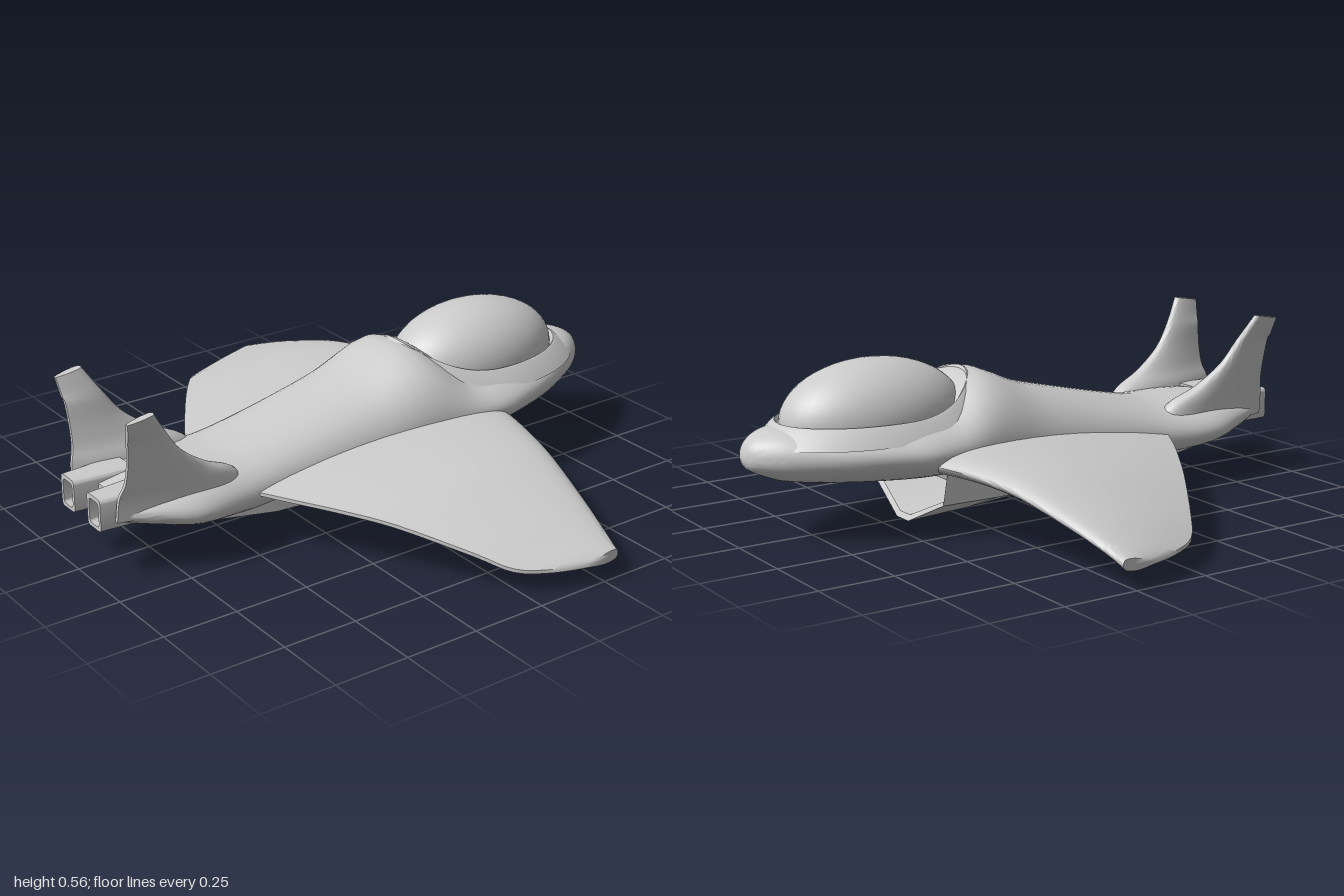
import * as THREE from 'three';
import { toCreasedNormals } from 'three/addons/utils/BufferGeometryUtils.js';

const material = new THREE.MeshStandardMaterial({ color: 0xcccccc, side: THREE.DoubleSide });

function addMesh(group, name, geometry) {
  const mesh = new THREE.Mesh(geometry, material);
  mesh.name = name;
  group.add(mesh);
  return mesh;
}

// Catmull-Rom interpolation between the rows of a station table
function refine(rows, steps) {
  const out = [];
  for (let i = 0; i < rows.length - 1; i++) {
    const a = rows[Math.max(i - 1, 0)], b = rows[i], c = rows[i + 1], d = rows[Math.min(i + 2, rows.length - 1)];
    for (let s = 0; s < steps; s++) {
      const t = s / steps;
      out.push(b.map((v, k) => {
        const cubic = 3 * (v - c[k]) + d[k] - a[k];
        const square = 2 * a[k] - 5 * v + 4 * c[k] - d[k];
        return v + 0.5 * t * (c[k] - a[k] + t * (square + t * cubic));
      }));
    }
  }
  out.push(rows[rows.length - 1]);
  return out;
}

// Skin closed rings of [x, y, z] points, with end caps, faces turned outward
function loft(rings, crease = 0.7, capped = true) {
  const n = rings[0].length, pos = rings.flat(2), idx = [];
  const at = (r, i) => r * n + (i % n);
  for (let r = 0; r < rings.length - 1; r++) {
    for (let i = 0; i < n; i++) {
      idx.push(at(r, i), at(r, i + 1), at(r + 1, i), at(r, i + 1), at(r + 1, i + 1), at(r + 1, i));
    }
  }
  if (capped) for (const r of [0, rings.length - 1]) {
    const centre = pos.length / 3;
    pos.push(...[0, 1, 2].map(k => rings[r].reduce((s, p) => s + p[k], 0) / n));
    for (let i = 0; i < n; i++) {
      idx.push(centre, ...(r ? [at(r, i), at(r, i + 1)] : [at(r, i + 1), at(r, i)]));
    }
  }
  const v = i => new THREE.Vector3(pos[3 * i], pos[3 * i + 1], pos[3 * i + 2]);
  let volume = 0;
  for (let i = 0; i < idx.length; i += 3) volume += v(idx[i]).dot(v(idx[i + 1]).cross(v(idx[i + 2])));
  if (volume < 0) idx.reverse();
  const g = new THREE.BufferGeometry();
  g.setAttribute('position', new THREE.Float32BufferAttribute(pos, 3));
  g.setIndex(idx);
  return toCreasedNormals(g, crease);
}

// Airfoil loop: calls place(t along the chord, offset from the chord)
function airfoil(half, edge, place, n = 14) {
  const ring = [];
  const h = t => half * 2.6 * Math.sqrt(t) * (1 - t) + edge * Math.min(1, t * 20);
  for (let i = 0; i <= n; i++) { const t = (i / n) ** 2; ring.push(place(t, h(t))); }
  for (let i = n; i > 0; i--) { const t = (i / n) ** 2; ring.push(place(t, -h(t))); }
  return ring;
}

function fuselage() {
  // z, half width, top, widest level, bottom
  const stations = [
    [-0.98, 0.01, 0.29, 0.28, 0.27], [-0.965, 0.05, 0.325, 0.28, 0.245], [-0.92, 0.1, 0.352, 0.28, 0.22],
    [-0.85, 0.15, 0.365, 0.28, 0.197], [-0.7, 0.23, 0.365, 0.28, 0.178], [-0.55, 0.28, 0.365, 0.275, 0.168],
    [-0.46, 0.297, 0.37, 0.27, 0.165], [-0.35, 0.287, 0.385, 0.265, 0.16], [-0.2, 0.268, 0.475, 0.25, 0.14],
    [0, 0.243, 0.405, 0.22, 0.11], [0.2, 0.225, 0.355, 0.2, 0.09], [0.4, 0.215, 0.31, 0.19, 0.085],
    [0.52, 0.222, 0.29, 0.185, 0.095], [0.68, 0.24, 0.285, 0.19, 0.115], [0.8, 0.2, 0.275, 0.205, 0.14],
    [0.9, 0.15, 0.255, 0.215, 0.165],
  ];
  const n = 48;
  const section = ([z, w, top, mid, bottom]) => Array.from({ length: n }, (_, i) => {
    const a = (i / n) * Math.PI * 2, c = Math.cos(a), s = Math.sin(a);
    return [w * Math.sign(c) * Math.abs(c) ** 0.9, mid + s * (s > 0 ? top - mid : mid - bottom), z];
  });
  return loft(refine(stations, 4).map(section), 1);
}

function wing(side) {
  // x, leading z, trailing z, leading y, trailing y, half thickness
  const stations = [
    [0.1, -0.5, 0.54, 0.235, 0.195, 0.06], [0.3, -0.46, 0.428, 0.24, 0.192, 0.046],
    [0.45, -0.425, 0.335, 0.235, 0.186, 0.04], [0.6, -0.39, 0.238, 0.215, 0.17, 0.035],
    [0.8, -0.345, 0.103, 0.16, 0.12, 0.026], [0.9, -0.322, 0.025, 0.127, 0.085, 0.021],
    [0.96, -0.309, -0.08, 0.105, 0.077, 0.016], [1, -0.3, -0.2, 0.088, 0.077, 0.013],
  ];
  const section = ([x, z0, z1, y0, y1, half]) =>
    airfoil(half, 0.006, (t, h) => [side * x, y0 + (y1 - y0) * t + h, z0 + (z1 - z0) * t]);
  return loft(refine(stations, 4).map(section), 0.9);
}

function tailFin(side) {
  // y, x, leading z, trailing z, half thickness
  const stations = [
    [0.2, 0.135, 0.46, 0.935, 0.05], [0.28, 0.145, 0.53, 0.93, 0.04], [0.33, 0.16, 0.63, 0.915, 0.026],
    [0.4, 0.175, 0.725, 0.912, 0.016], [0.48, 0.19, 0.785, 0.918, 0.012], [0.565, 0.217, 0.84, 0.93, 0.008],
  ];
  const section = ([y, x, z0, z1, half]) =>
    airfoil(half, 0.006, (t, h) => [side * (x + h), y - (y > 0.5 ? 0.015 * t : 0), z0 + (z1 - z0) * t]);
  return loft(refine(stations, 4).map(section), 0.9);
}

function intake() {
  const ring = (z, w, corner, bottom, top, keel, sweep = 0) => [
    [w, top, z + sweep], [w, corner, z + sweep * 0.6], [keel, bottom, z],
    [-keel, bottom, z], [-w, corner, z + sweep * 0.6], [-w, top, z + sweep],
  ];
  // Inner duct first, then the lip, then the outer skin running aft
  return loft([
    ring(-0.1, 0.14, 0.115, 0.06, 0.15, 0.03),
    ring(-0.415, 0.195, 0.1, 0.022, 0.165, 0.03, 0.04),
    ring(-0.425, 0.208, 0.09, 0.004, 0.19, 0.035, 0.04),
    ring(-0.2, 0.21, 0.088, 0.015, 0.2, 0.035),
    ring(0, 0.21, 0.09, 0.03, 0.2, 0.035),
    ring(0.4, 0.2, 0.105, 0.078, 0.2, 0.03),
    ring(0.75, 0.16, 0.145, 0.128, 0.2, 0.03),
  ], 0.5);
}

// Raised lip around the cockpit, climbing towards the spine
function cockpitRim() {
  const n = 64;
  const band = (scale, drop) => Array.from({ length: n }, (_, i) => {
    const a = (i / n) * Math.PI * 2, c = Math.cos(a);
    const y = 0.372 + 0.108 * Math.max(0, c) ** 2.6;
    return [0.208 * scale * Math.sin(a), y - drop, -0.53 + 0.325 * scale * c];
  });
  return loft([band(0.9, 0.05), band(0.97, 0.012), band(1, 0), band(1.04, 0.006), band(1.22, 0.06)], 0.8, false);
}

function roundedRect(target, x, y, w, h, r) {
  target.moveTo(x + r, y);
  target.lineTo(x + w - r, y).quadraticCurveTo(x + w, y, x + w, y + r);
  target.lineTo(x + w, y + h - r).quadraticCurveTo(x + w, y + h, x + w - r, y + h);
  target.lineTo(x + r, y + h).quadraticCurveTo(x, y + h, x, y + h - r);
  target.lineTo(x, y + r).quadraticCurveTo(x, y, x + r, y);
  return target;
}

function nozzle(side) {
  const cx = side * 0.08;
  const shape = roundedRect(new THREE.Shape(), cx - 0.04, 0.172, 0.08, 0.108, 0.015);
  shape.holes.push(roundedRect(new THREE.Path(), cx - 0.028, 0.184, 0.056, 0.082, 0.015));
  const g = new THREE.ExtrudeGeometry(shape, { depth: 0.2, bevelEnabled: false, curveSegments: 4 });
  g.translate(0, 0, 0.78);
  // Shoulders widen forward into the hull
  const p = g.attributes.position;
  for (let i = 0; i < p.count; i++) if (p.getZ(i) < 0.8) p.setX(i, cx + (p.getX(i) - cx) * 1.5);
  return toCreasedNormals(g, 0.6);
}

export function createModel() {
  const group = new THREE.Group();
  group.name = 'spacecraft';
  addMesh(group, 'fuselage', fuselage());
  addMesh(group, 'bellyIntake', intake());
  addMesh(group, 'cockpitRim', cockpitRim());

  const canopy = addMesh(group, 'canopy', new THREE.SphereGeometry(1, 40, 28));
  canopy.scale.set(0.195, 0.18, 0.312);
  canopy.position.set(0, 0.36, -0.53);

  for (const [label, side] of [['left', 1], ['right', -1]]) {
    addMesh(group, label + 'Wing', wing(side));
    addMesh(group, label + 'TailFin', tailFin(side));
    addMesh(group, label + 'Nozzle', nozzle(side));
  }
  return group;
}
